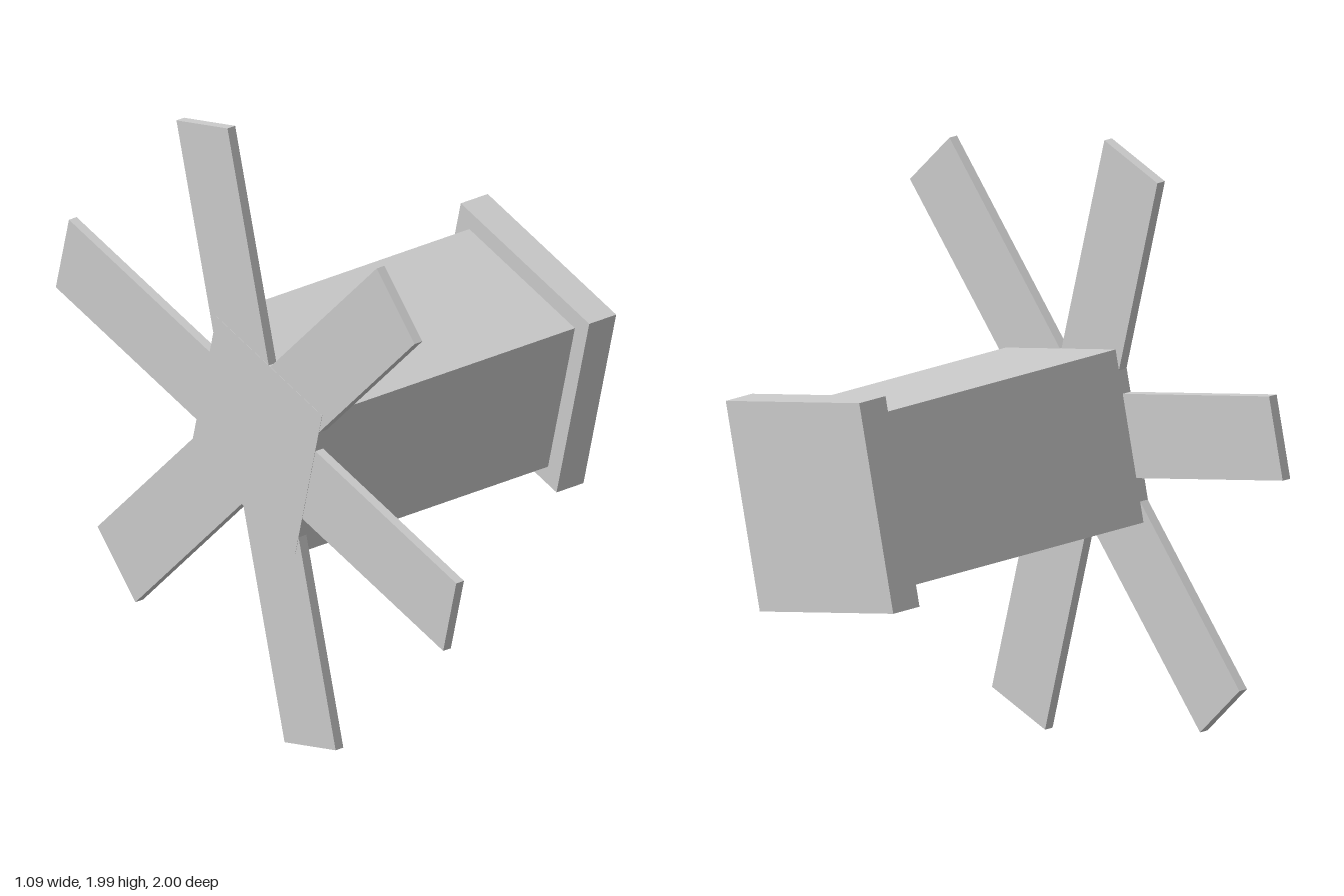
import * as THREE from 'three';

const deg = THREE.MathUtils.degToRad;

export function createModel() {
  const material = new THREE.MeshStandardMaterial({ color: 0xcccccc, flatShading: true });
  const model = new THREE.Group();

  // Everything turns around a horizontal x axis at mid height
  const rotor = new THREE.Group();
  rotor.name = 'rotor';
  rotor.position.y = 1;
  rotor.rotation.x = deg(14.3);
  model.add(rotor);

  // Box given by its x range, radial (y) range and width
  const addBox = (parent, name, x0, x1, y0, y1, width) => {
    const mesh = new THREE.Mesh(new THREE.BoxGeometry(x1 - x0, y1 - y0, width), material);
    mesh.position.set((x0 + x1) / 2, (y0 + y1) / 2, 0);
    mesh.name = name;
    parent.add(mesh);
  };

  // Square body, reaching through the blade plane, and wider end cap
  addBox(rotor, 'body', -0.546, 0.44, -0.272, 0.272, 0.544);
  addBox(rotor, 'endCap', 0.44, 0.545, -0.331, 0.331, 0.662);

  // Six flat blades, each an inner and an outer panel
  for (let i = 0; i < 6; i++) {
    const blade = new THREE.Group();
    blade.name = 'blade' + (i + 1);
    blade.rotation.x = deg(-30 + i * 60);
    addBox(blade, 'innerPanel', -0.545, -0.515, 0, 0.62, 0.265);
    addBox(blade, 'outerPanel', -0.545, -0.515, 0.62, 0.998, 0.265);
    rotor.add(blade);
  }
  return model;
}
